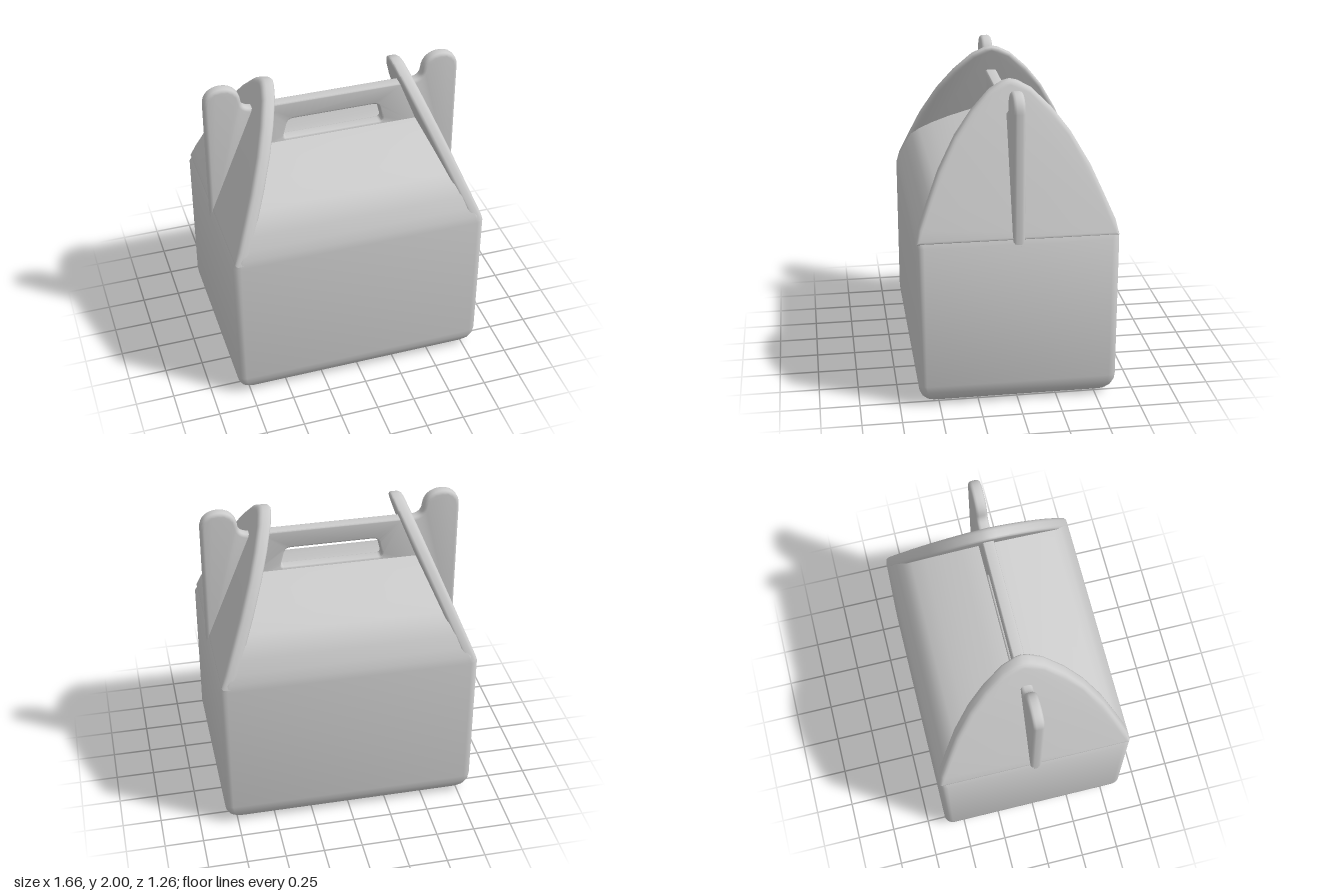
import * as THREE from 'three';
import { toCreasedNormals } from 'three/addons/utils/BufferGeometryUtils.js';

const material = new THREE.MeshStandardMaterial({ color: 0xcccccc });

function addMesh(parent, name, geometry, crease = 0.75) {
  const mesh = new THREE.Mesh(toCreasedNormals(geometry, crease), material);
  mesh.name = name;
  parent.add(mesh);
  return mesh;
}

// Closed loft through rounded rectangles; each section is [y, halfX, halfZ, cornerRadius]
function loft(sections, steps = 4) {
  const n = 4 * (steps + 1), pos = [], index = [];
  const signs = [[1, 1], [-1, 1], [-1, -1], [1, -1]];
  for (const [y, hx, hz, r] of sections) {
    signs.forEach(([sx, sz], q) => {
      for (let k = 0; k <= steps; k++) {
        const a = (q + k / steps) * Math.PI / 2;
        pos.push(sx * (hx - r) + r * Math.cos(a), y, sz * (hz - r) + r * Math.sin(a));
      }
    });
  }
  const last = sections.length - 1, bottom = sections.length * n, top = bottom + 1;
  pos.push(0, sections[0][0], 0, 0, sections[last][0], 0);
  for (let j = 0; j < n; j++) {
    const k = (j + 1) % n;
    for (let i = 0; i < last; i++) {
      const a = i * n + j, b = i * n + k;
      index.push(a, a + n, b + n, a, b + n, b);
    }
    index.push(bottom, j, k, top, last * n + k, last * n + j);
  }
  const g = new THREE.BufferGeometry();
  g.setAttribute('position', new THREE.Float32BufferAttribute(pos, 3));
  g.setIndex(index);
  return g;
}

// Polygon outline with rounded corners
function roundedPolygon(path, pts, r) {
  const v = pts.map(p => new THREE.Vector2(...p));
  v.forEach((p, i) => {
    const toward = q => p.clone().add(q.clone().sub(p).setLength(r));
    const a = toward(v[(i + v.length - 1) % v.length]), b = toward(v[(i + 1) % v.length]);
    if (i === 0) path.moveTo(a.x, a.y); else path.lineTo(a.x, a.y);
    path.quadraticCurveTo(p.x, p.y, b.x, b.y);
  });
  path.closePath();
  return path;
}

// Board with softened edges, centred on z
function board(shape, thickness, bevel) {
  const g = new THREE.ExtrudeGeometry(shape, {
    depth: thickness - 2 * bevel, bevelThickness: bevel, bevelSize: bevel,
    bevelOffset: -bevel, bevelSegments: 3, curveSegments: 8,
  });
  return g.translate(0, 0, bevel - thickness / 2);
}

export function createModel() {
  const group = new THREE.Group();
  const FOLD = 1.07, LEAN = 0.4;

  // Box body: rounded bottom, straight walls, then the roof closing to a ridge
  const sections = [];
  for (let i = 0; i <= 5; i++) {
    const a = i / 5 * Math.PI / 2;
    const inset = 1 - Math.sin(a);
    sections.push([0.14 * (1 - Math.cos(a)), 0.83 - 0.12 * inset, 0.63 - 0.11 * inset, 0.05]);
  }
  sections.push([FOLD, 0.83, 0.63, 0.05]);
  const roof = [[1.12, 0.624], [1.18, 0.605], [1.26, 0.572], [1.34, 0.532], [1.385, 0.475],
    [1.43, 0.385], [1.475, 0.275], [1.515, 0.155], [1.55, 0.04]];
  for (const [y, hz] of roof) sections.push([y, 0.815 - LEAN * (y - FOLD), hz, 0.03]);
  addMesh(group, 'boxBody', loft(sections));

  // Handle plate with a grip opening
  const plate = new THREE.Shape([[-0.6, 1.48], [0.6, 1.48], [0.46, 1.83], [-0.46, 1.83]]
    .map(p => new THREE.Vector2(...p)));
  plate.holes.push(roundedPolygon(new THREE.Path(),
    [[-0.335, 1.565], [-0.3, 1.705], [0.3, 1.705], [0.335, 1.565]], 0.035));
  addMesh(group, 'handle', board(plate, 0.075, 0.012));

  // Pointed-arch end panel, leaning inward
  const half = [[0.628, 1.09], [0.608, 1.18], [0.54, 1.34], [0.47, 1.5], [0.36, 1.69],
    [0.25, 1.83], [0.13, 1.945], [0.045, 1.99]];
  const outline = [...half, [0, 2], ...half.map(([z, y]) => [-z, y]).reverse()];
  const arch = new THREE.Shape(outline.map(p => new THREE.Vector2(...p)));
  const panel = board(arch, 0.085, 0.025).rotateY(Math.PI / 2);
  const p = panel.attributes.position;
  for (let i = 0; i < p.count; i++) {
    p.setX(i, p.getX(i) + 0.83 - 0.0425 - LEAN * (p.getY(i) - FOLD));
  }

  // Upright tab standing on each end panel
  const tabShape = new THREE.Shape();
  tabShape.moveTo(0.79, 1.04);
  tabShape.lineTo(0.83, 1.04);
  tabShape.lineTo(0.83, 1.89);
  tabShape.bezierCurveTo(0.83, 1.96, 0.78, 2, 0.715, 2);
  tabShape.bezierCurveTo(0.65, 2, 0.6, 1.96, 0.595, 1.89);
  tabShape.quadraticCurveTo(0.59, 1.835, 0.53, 1.83);
  tabShape.lineTo(0.49, 1.83);
  const tab = board(tabShape, 0.075, 0.022);

  for (const side of ['left', 'right']) {
    const end = new THREE.Group();
    end.name = side + 'End';
    addMesh(end, side + 'GablePanel', panel);
    addMesh(end, side + 'Tab', tab);
    if (side === 'right') end.rotation.y = Math.PI;
    group.add(end);
  }
  return group;
}
